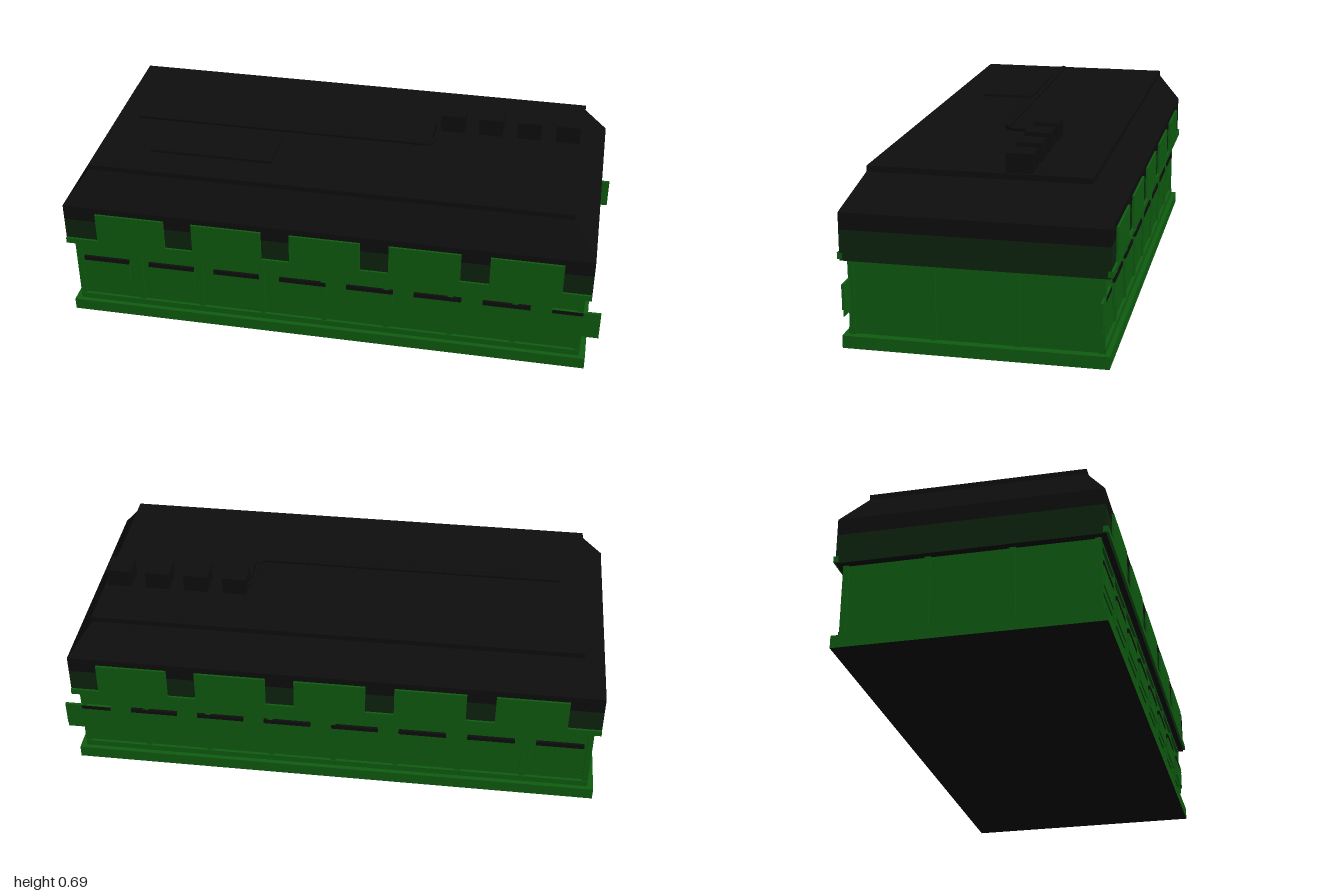
import * as THREE from 'three';

const mat = (name, color) => {
  const m = new THREE.MeshStandardMaterial({ color });
  m.name = name;
  return m;
};

export function createModel() {
  const root = new THREE.Group();
  root.name = 'longHouse';
  const green = mat('green', 0x0f5c10);
  const darkGreen = mat('darkGreen', 0x0d2410);
  const black = mat('black', 0x0e0e0e);
  const CX = -0.02; // centre of the building in x

  const add = (name, geometry, material) => {
    const mesh = new THREE.Mesh(geometry, material);
    mesh.name = name;
    root.add(mesh);
    return mesh;
  };

  // Box given by its limits on each axis
  const box = (name, x0, x1, y0, y1, z0, z1, material) => {
    const mesh = add(name, new THREE.BoxGeometry(x1 - x0, y1 - y0, z1 - z0), material);
    mesh.position.set((x0 + x1) / 2, (y0 + y1) / 2, (z0 + z1) / 2);
    return mesh;
  };

  // Flat-faced loft through rectangles [y, half width, half depth]
  const loft = (rings) => {
    const corner = ([y, w, d], i) => {
      const [sx, sz] = [[-1, 1], [1, 1], [1, -1], [-1, -1]][i % 4];
      return [CX + sx * w, y, sz * d];
    };
    const p = [];
    const quad = (a, b, c, d) => p.push(...a, ...b, ...c, ...a, ...c, ...d);
    for (let r = 0; r < rings.length - 1; r++)
      for (let i = 0; i < 4; i++)
        quad(corner(rings[r], i), corner(rings[r], i + 1), corner(rings[r + 1], i + 1), corner(rings[r + 1], i));
    const top = rings[rings.length - 1], low = rings[0];
    quad(corner(top, 0), corner(top, 1), corner(top, 2), corner(top, 3));
    quad(corner(low, 3), corner(low, 2), corner(low, 1), corner(low, 0));
    const g = new THREE.BufferGeometry();
    g.setAttribute('position', new THREE.Float32BufferAttribute(p, 3));
    g.computeVertexNormals();
    return g;
  };

  // Plinth with a black underside, and the walls
  box('plinth', -1, 0.96, 0, 0.045, -0.46, 0.46, [green, green, green, black, green, green]);
  box('walls', -0.97, 0.93, 0.045, 0.315, -0.432, 0.432, green);

  // Pilasters and rails on the ends
  for (const s of [-1, 1]) {
    const x = CX + s * 0.952;
    for (const z of [-0.43, -0.145, 0.145, 0.43])
      box('endPilaster', x - 0.006, x + 0.006, 0.045, 0.315, z - 0.01, z + 0.01, green);
  }

  // Long sides, mirrored in z
  for (const s of [-1, 1]) {
    const panel = (name, x0, x1, y0, y1, a, b, m) =>
      box(name, x0, x1, y0, y1, Math.min(s * a, s * b), Math.max(s * a, s * b), m);

    panel('lowerRail', -0.977, 0.937, 0.045, 0.068, 0.42, 0.443, green);
    panel('upperRail', -0.977, 0.937, 0.295, 0.306, 0.42, 0.441, green);
    panel('eaveShadowBand', -0.977, 0.937, 0.306, 0.316, 0.42, 0.442, black);
    for (let i = 0; i < 9; i++) {
      const x = CX - 0.947 + i * 0.2367;
      panel('sidePilaster', x - 0.01, x + 0.01, 0.06, 0.3, 0.42, 0.44, green);
    }

    // Window plates, each with a dark strip on top
    for (let i = 0; i < 8; i++) {
      const x = -0.948 + i * 0.2533;
      panel('windowLower', x, x + 0.175, 0.132, 0.155, 0.433, 0.438, green);
      panel('windowUpper', x, x + 0.175, 0.155, 0.228, 0.433, 0.442, green);
      panel('windowHeadStrip', x, x + 0.175, 0.228, 0.245, 0.433, 0.4425, i === 7 ? green : black);
      if (i === 7) panel('windowHeadStripInner', x, 0.937, 0.228, 0.243, 0.438, 0.443, black);
    }

    // Eave trim and the broad panels above it
    panel('eaveTrim', -1, 0.96, 0.32, 0.342, 0.45, 0.468, green);
    for (let i = 0; i < 5; i++) {
      const x = -0.877 + i * 0.3675;
      panel('upperPanel', x, x + 0.262, 0.342, 0.46, 0.459, 0.468, green);
    }
  }

  // Upper storey band and hipped roof
  const band = loft([[0.315, 0.98, 0.46], [0.424, 0.98, 0.46]]);
  band.addGroup(0, 30, 0);
  band.addGroup(30, 6, 1);
  add('upperBand', band, [darkGreen, black]);
  add('roof', loft([[0.424, 0.98, 0.46], [0.484, 0.98, 0.46], [0.605, 0.892, 0.384], [0.625, 0.892, 0.384]]), black);

  // Roof hatch and vents
  box('roofHatch', -0.71, -0.25, 0.62, 0.635, 0.055, 0.255, black);
  for (let i = 0; i < 4; i++) {
    const x = 0.335 + i * 0.1455;
    box('roofVent', x, x + 0.09, 0.62, 0.692, -0.182, -0.091, black);
  }

  // Pipe along the roof, bending back to the first vent
  const path = new THREE.CurvePath();
  const pts = [[-0.82, 0.032], [0.3, 0.032], [0.322, 0.01], [0.322, -0.12], [0.34, -0.137]]
    .map(([x, z]) => new THREE.Vector3(x, 0.64, z));
  for (let i = 0; i < pts.length - 1; i++) path.add(new THREE.LineCurve3(pts[i], pts[i + 1]));
  add('roofPipe', new THREE.TubeGeometry(path, 90, 0.009, 8), black);
  box('roofPipeEnd', -0.823, -0.817, 0.633, 0.647, 0.025, 0.039, black);

  return root;
}
